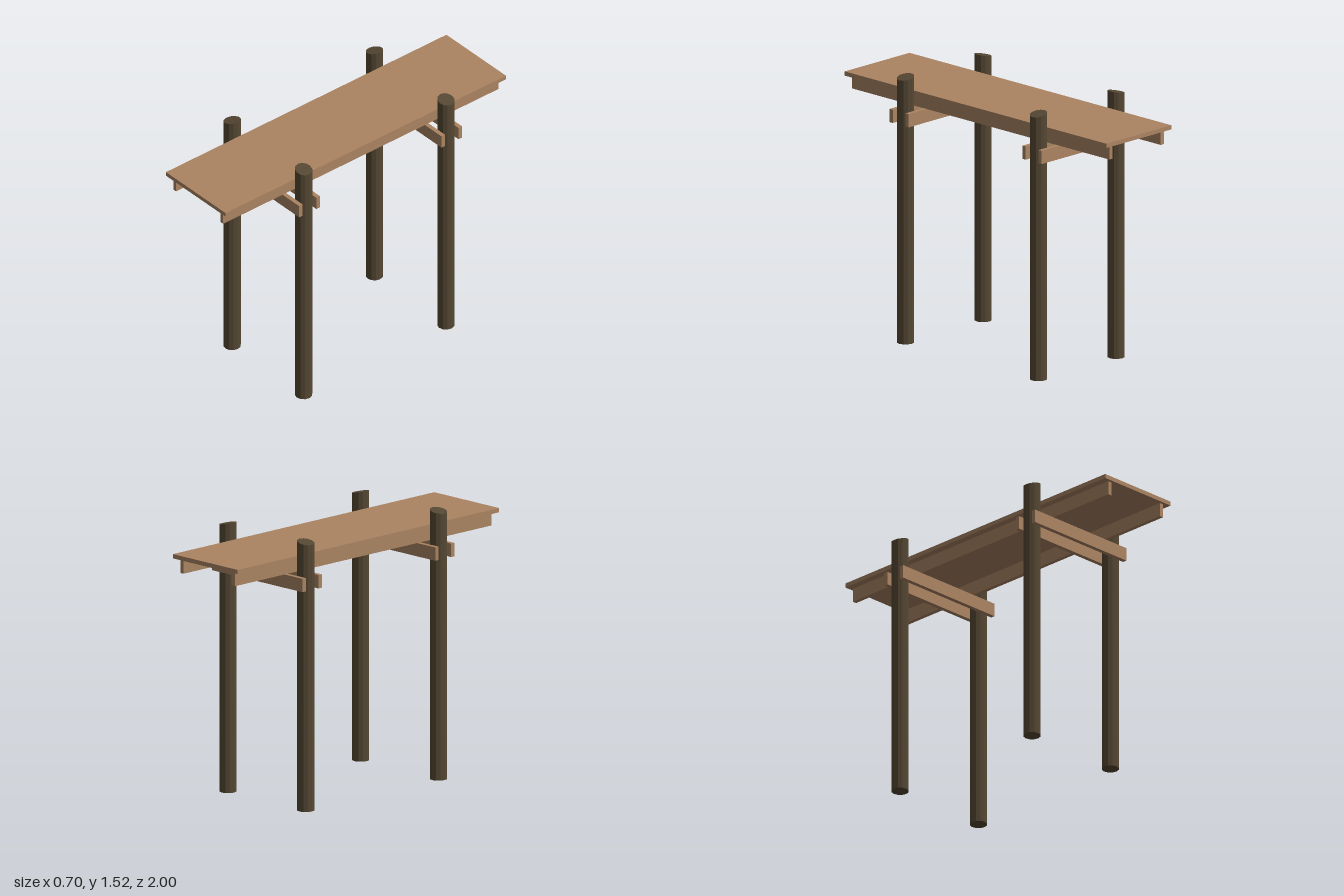
import * as THREE from 'three';

export function createModel() {
  const group = new THREE.Group();
  const plankMat = new THREE.MeshStandardMaterial({ color: 0xab8462 });
  const postMat = new THREE.MeshStandardMaterial({ color: 0x554733, flatShading: true });

  const add = (name, geometry, material, x, y, z) => {
    const mesh = new THREE.Mesh(geometry, material);
    mesh.name = name;
    mesh.position.set(x, y, z);
    group.add(mesh);
  };

  // Round post whose sawn top slopes down towards the outside
  const postGeometry = (side) => {
    const geo = new THREE.CylinderGeometry(0.048, 0.048, 1.506, 12);
    geo.translate(0, 0.753, 0);
    const p = geo.attributes.position;
    for (let i = 0; i < p.count; i++) {
      if (p.getY(i) > 1) p.setY(i, 1.506 - 0.21 * side * p.getX(i));
    }
    geo.computeVertexNormals();
    return geo;
  };

  // Two trestles: a pair of posts clamped between two cross beams
  for (const [end, z] of [['front', 0.486], ['back', -0.529]]) {
    for (const [sideName, side] of [['Left', 1], ['Right', -1]]) {
      add(`${end}${sideName}Post`, postGeometry(side), postMat, side * 0.302, 0, z);
    }
    for (const [face, dz] of [['Outer', 0.061], ['Inner', -0.061]]) {
      const beam = new THREE.BoxGeometry(0.704, 0.075, 0.025);
      add(`${end}${face}CrossBeam`, beam, plankMat, 0, 1.282, z + Math.sign(z) * dz);
    }
  }

  // Long joists resting on the cross beams
  for (const [name, side] of [['leftJoist', 1], ['rightJoist', -1]]) {
    add(name, new THREE.BoxGeometry(0.024, 0.078, 1.965), plankMat, side * 0.199, 1.358, 0);
  }

  // Walkway deck
  add('deck', new THREE.BoxGeometry(0.504, 0.024, 2), plankMat, 0, 1.409, 0);

  return group;
}
